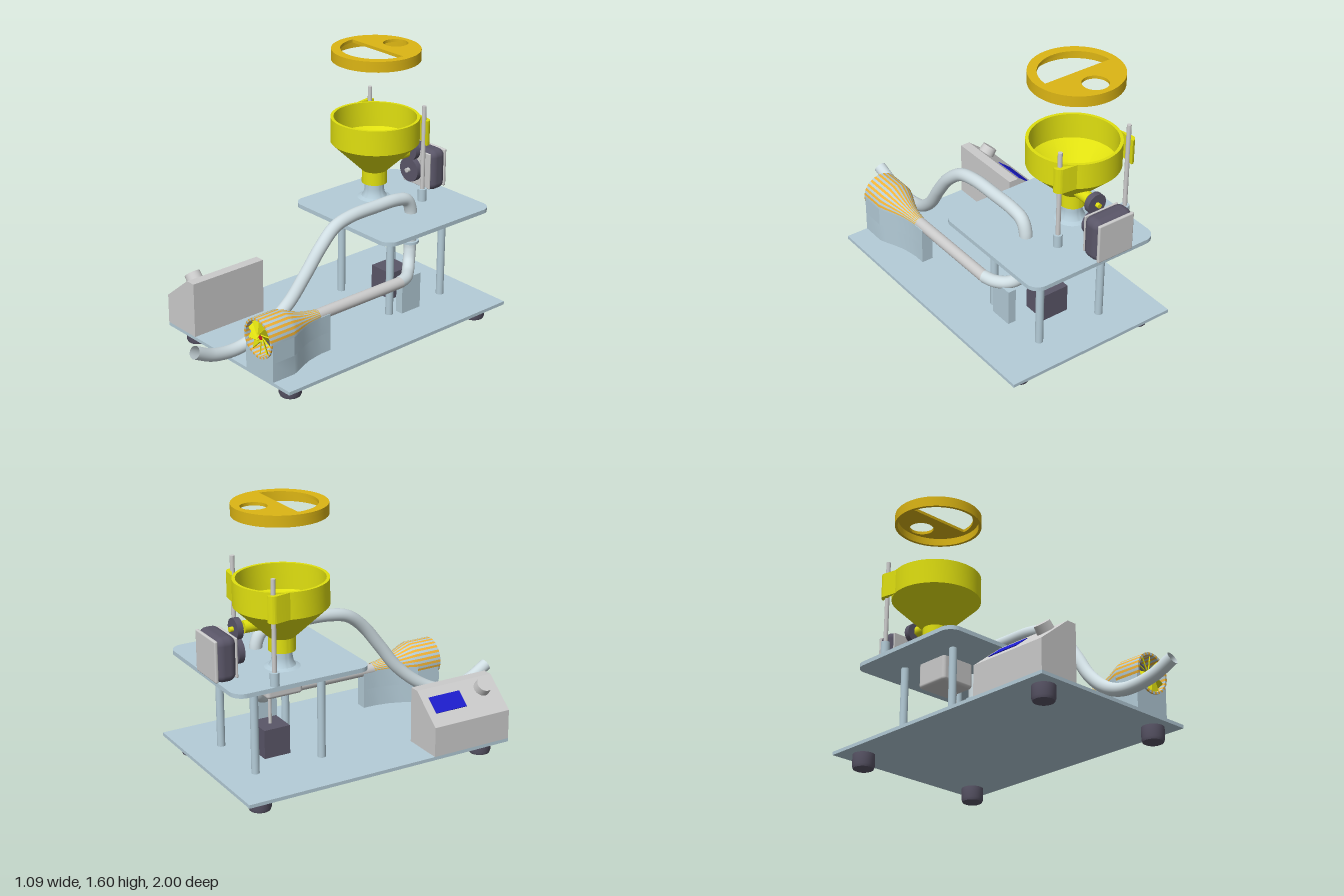
import * as THREE from 'three';
import { toCreasedNormals } from 'three/addons/utils/BufferGeometryUtils.js';
import { RoundedBoxGeometry } from 'three/addons/geometries/RoundedBoxGeometry.js';

const V = (x, y, z) => new THREE.Vector3(x, y, z);
const mat = (color) => new THREE.MeshStandardMaterial({ color, side: THREE.DoubleSide });
const BLUE = mat(0xb4ccd8), DARK = mat(0x5a5668), GREY = mat(0xcccccc), YELLOW = mat(0xe0e010),
  GOLD = mat(0xdcb514), HOSE = mat(0xcfdde2), ORANGE = mat(0xf2b233), SCREEN = mat(0x1c1ccc), RED = mat(0xcc2222);

export function createModel() {
  const model = new THREE.Group();

  const add = (name, geo, material, x = 0, y = 0, z = 0) => {
    const m = new THREE.Mesh(geo, material);
    m.name = name;
    m.position.set(x, y, z);
    model.add(m);
    return m;
  };
  const box = (name, m, x0, x1, y0, y1, z0, z1) =>
    add(name, new THREE.BoxGeometry(x1 - x0, y1 - y0, z1 - z0), m, (x0 + x1) / 2, (y0 + y1) / 2, (z0 + z1) / 2);
  const post = (name, m, r, x, z, y0, y1) =>
    add(name, new THREE.CylinderGeometry(r, r, y1 - y0, 32), m, x, (y0 + y1) / 2, z);
  const axleZ = (name, m, r, x, y, z0, z1) => {
    const c = add(name, new THREE.CylinderGeometry(r, r, z1 - z0, 32), m, x, y, (z0 + z1) / 2);
    c.rotation.x = Math.PI / 2;
    return c;
  };
  const lathe = (pts, segs = 48, start = 0, len = Math.PI * 2) =>
    toCreasedNormals(new THREE.LatheGeometry(pts.map(p => new THREE.Vector2(...p)), segs, start, len), 0.6);
  // Plan outline (x, -z) raised to a given height
  const slab = (shape, h) => {
    const g = new THREE.ExtrudeGeometry(shape, { depth: h, bevelEnabled: false, curveSegments: 32 });
    return toCreasedNormals(g.rotateX(-Math.PI / 2), 0.6);
  };
  const disc = (r, x = 0, y = 0, Kind = THREE.Shape) => {
    const s = new Kind();
    s.absarc(x, y, r, 0, Math.PI * 2);
    return s;
  };
  const tube = (name, pts, r, m) =>
    add(name, new THREE.TubeGeometry(new THREE.CatmullRomCurve3(pts.map(p => V(...p))), 120, r, 24), m);

  // Base plate on four rubber feet
  box('basePlate', BLUE, -0.545, 0.54, 0.09, 0.11, -0.98, 0.68);
  const foot = lathe([[0, 0], [0.045, 0], [0.058, 0.006], [0.064, 0.022], [0.064, 0.09], [0, 0.09]], 32);
  for (const x of [-0.42, 0.415]) for (const z of [0.57, -0.855]) add('foot', foot, DARK, x, 0, z);

  // Upper plate with rounded corners, on four posts
  const w = 0.415, r = 0.075, plate = new THREE.Shape();
  [[1, 1], [-1, 1], [-1, -1], [1, -1]].forEach(([sx, sy], i) =>
    plate.absarc(sx * (w - r), sy * (w - r), r, i * Math.PI / 2, (i + 1) * Math.PI / 2));
  add('upperPlate', slab(plate, 0.025), BLUE, -0.003, 0.655, -0.565);
  for (const x of [-0.21, 0.21]) for (const z of [-0.355, -0.77]) post('platePost', BLUE, 0.023, x, z, 0.11, 0.655);

  // Hopper: rim, cone and neck, open inside
  const hx = -0.16, hz = -0.567;
  add('hopper', lathe([[0.035, 0.775], [0.075, 0.775], [0.075, 0.855], [0.262, 1.035], [0.262, 1.185],
    [0.244, 1.185], [0.244, 1.035], [0.04, 0.85], [0.035, 0.775]], 64), YELLOW, hx, 0, hz);
  for (const s of [-1, 1]) {
    // Ear, guide rod and rod socket on each side
    const ex = s * 0.232, ey = 0.17, a = Math.atan2(ey, ex), ear = new THREE.Shape();
    ear.moveTo(0.258 * Math.cos(a - 0.35), 0.258 * Math.sin(a - 0.35));
    ear.absarc(ex, ey, 0.035, a - 0.9, a + 0.9);
    ear.lineTo(0.258 * Math.cos(a + 0.35), 0.258 * Math.sin(a + 0.35));
    add('hopperEar', slab(ear, 0.15), YELLOW, hx, 1.035, hz);
    post('guideRod', GREY, 0.013, hx + ex, hz - ey, 0.68, 1.27);
    post('rodSocket', BLUE, 0.026, hx + ex, hz - ey, 0.68, 0.755);
  }

  // Flared inlet below the neck
  add('inletTube', lathe([[0.1, 0.68], [0.075, 0.69], [0.062, 0.71], [0.057, 0.74], [0.057, 0.785], [0.045, 0.785], [0.045, 0.68]]),
    BLUE, hx, 0, hz);

  // Lid floating above: top with two openings and a hanging rim
  const lid = disc(0.26), half = new THREE.Path();
  half.absarc(0, 0.008, 0.213, Math.PI, Math.PI * 2);
  half.closePath();
  lid.holes.push(disc(0.073, 0, 0.153, THREE.Path), half);
  add('lidTop', slab(lid, 0.018), GOLD, hx, 1.58, hz);
  const rim = disc(0.26);
  rim.holes.push(disc(0.243, 0, 0, THREE.Path));
  add('lidRim', slab(rim, 0.047), GOLD, hx, 1.535, hz);

  // Agitator motor, gears and shaft behind the hopper
  add('agitatorMotor', new RoundedBoxGeometry(0.255, 0.255, 0.12, 4, 0.045), DARK, -0.11, 0.803, -0.93);
  add('motorFace', new RoundedBoxGeometry(0.25, 0.25, 0.012, 3, 0.005), GREY, -0.11, 0.803, -0.869).scale.set(0.9, 0.9, 1);
  add('motorBack', new RoundedBoxGeometry(0.235, 0.235, 0.02, 3, 0.008), GREY, -0.11, 0.803, -0.99);
  axleZ('lowerGear', DARK, 0.075, -0.11, 0.803, -0.835, -0.8);
  axleZ('upperGear', DARK, 0.06, -0.11, 0.925, -0.834, -0.799);
  axleZ('motorShaft', GREY, 0.014, -0.11, 0.803, -0.88, -0.78);
  axleZ('agitatorShaft', YELLOW, 0.014, -0.11, 0.925, -0.855, -0.66);
  axleZ('shaftBearing', YELLOW, 0.035, -0.11, 0.925, -0.775, -0.68);

  // Metering housing under the plate, driven by a floor motor
  add('meteringHousing', new RoundedBoxGeometry(0.225, 0.17, 0.22, 4, 0.02), GREY, -0.075, 0.59, -0.565);
  box('driveMotor', DARK, -0.083, 0.08, 0.11, 0.28, -0.645, -0.485);
  post('driveShaft', GREY, 0.01, 0, -0.565, 0.28, 0.51);

  // Long hose looping over the plate to the front
  tube('hose', [[0.155, 0.5, -0.565], [0.155, 0.6, -0.565], [0.155, 0.7, -0.563], [0.155, 0.765, -0.53], [0.155, 0.787, -0.45],
    [0.155, 0.79, -0.28], [0.155, 0.785, -0.1], [0.16, 0.755, 0.03], [0.17, 0.67, 0.14], [0.165, 0.53, 0.25],
    [0.145, 0.38, 0.36], [0.115, 0.26, 0.5], [0.092, 0.2, 0.63], [0.09, 0.192, 0.73], [0.1, 0.22, 0.86], [0.11, 0.28, 0.98]],
  0.037, HOSE);

  // Elbow and straight air pipe to the blower
  post('elbowFlange', BLUE, 0.052, 0.155, -0.565, 0.49, 0.505);
  tube('elbow', [[0.155, 0.5, -0.565], [0.158, 0.45, -0.562], [0.175, 0.385, -0.54], [0.22, 0.345, -0.49],
    [0.265, 0.337, -0.43], [0.285, 0.335, -0.36]], 0.036, HOSE);
  axleZ('airPipe', GREY, 0.034, 0.285, 0.335, -0.37, 0.29);
  box('elbowSupport', BLUE, 0.21, 0.26, 0.11, 0.33, -0.555, -0.41);

  // Blower: striped shell, nozzle taper in alternating strips
  const fx = 0.288, fy = 0.335;
  const curve = [[0.117, 0.69], [0.117, 0.53], [0.102, 0.49], [0.075, 0.43], [0.053, 0.37], [0.042, 0.31], [0.036, 0.27]];
  const shell = [[0.104, 0.58], [0.104, 0.69], ...curve];
  const strips = 48;
  for (let i = 0; i < strips; i++) {
    const a = Math.PI * 2 / strips;
    const m = add('blowerShellStrip', lathe(shell, 2, i * a, a), i % 2 ? ORANGE : BLUE, fx, fy, 0);
    m.rotation.x = Math.PI / 2;
    m.scale.y = 1;
  }
  axleZ('blowerBack', DARK, 0.104, fx, fy, 0.575, 0.585);

  // Blower stand follows the nozzle outline in plan
  const stand = new THREE.Shape();
  const side = [[0.116, 0.68], ...curve.slice(1), [0.036, 0.2]];
  side.forEach(([x, z], i) => (i ? stand.lineTo(x, -z) : stand.moveTo(x, -z)));
  [...side].reverse().forEach(([x, z]) => stand.lineTo(-x, -z));
  // Cut the stand top at pipe height, with a round bore left for the impeller
  const low = 0.115;
  add('blowerStand', slab(stand, low), BLUE, fx, 0.11, 0);
  const cheek = new THREE.Shape();
  cheek.moveTo(-0.117, 0);
  cheek.lineTo(0.117, 0);
  cheek.lineTo(0.117, 0.112);
  cheek.absarc(0, 0.112, 0.112, 0, Math.PI, true);
  cheek.closePath();
  add('standCradle', new THREE.ExtrudeGeometry(cheek, { depth: 0.15, bevelEnabled: false, curveSegments: 32 }), BLUE, fx, 0.223, 0.53);
  add('standNeck', slab(neckShape(side.slice(1)), 0.11), BLUE, fx, 0.225, 0);

  // Impeller with ten pitched blades
  const impeller = new THREE.Group();
  impeller.name = 'impeller';
  impeller.position.set(fx, fy, 0.66);
  for (let i = 0; i < 10; i++) {
    const arm = new THREE.Group();
    arm.name = 'bladeArm';
    arm.rotation.z = i * Math.PI / 5 + 0.15;
    const blade = new THREE.Mesh(new THREE.BoxGeometry(0.085, 0.05, 0.006), YELLOW);
    blade.name = 'blade';
    blade.position.x = 0.056;
    blade.rotation.x = 0.7;
    arm.add(blade);
    impeller.add(arm);
  }
  model.add(impeller);
  axleZ('impellerHub', RED, 0.014, fx, fy, 0.58, 0.672);

  // Control box with sloped panel
  const panel = new THREE.Shape([[-0.545, 0.11], [-0.295, 0.11], [-0.295, 0.44], [-0.355, 0.44], [-0.545, 0.285]]
    .map(p => new THREE.Vector2(...p)));
  add('controlBox', new THREE.ExtrudeGeometry(panel, { depth: 0.5, bevelEnabled: false }), GREY, 0, 0, 0.18);
  const tilt = Math.atan2(0.155, 0.19);
  add('screen', new THREE.BoxGeometry(0.105, 0.008, 0.205), SCREEN, -0.44, 0.371, 0.33).rotation.z = tilt;
  add('knob', new THREE.CylinderGeometry(0.046, 0.05, 0.055, 32), GREY, -0.425, 0.408, 0.58).rotation.z = tilt;

  return model;
}

// Symmetric plan outline from a list of half widths along z
function neckShape(side) {
  return new THREE.Shape([...side.map(([x, z]) => new THREE.Vector2(x, -z)),
    ...[...side].reverse().map(([x, z]) => new THREE.Vector2(-x, -z))]);
}
